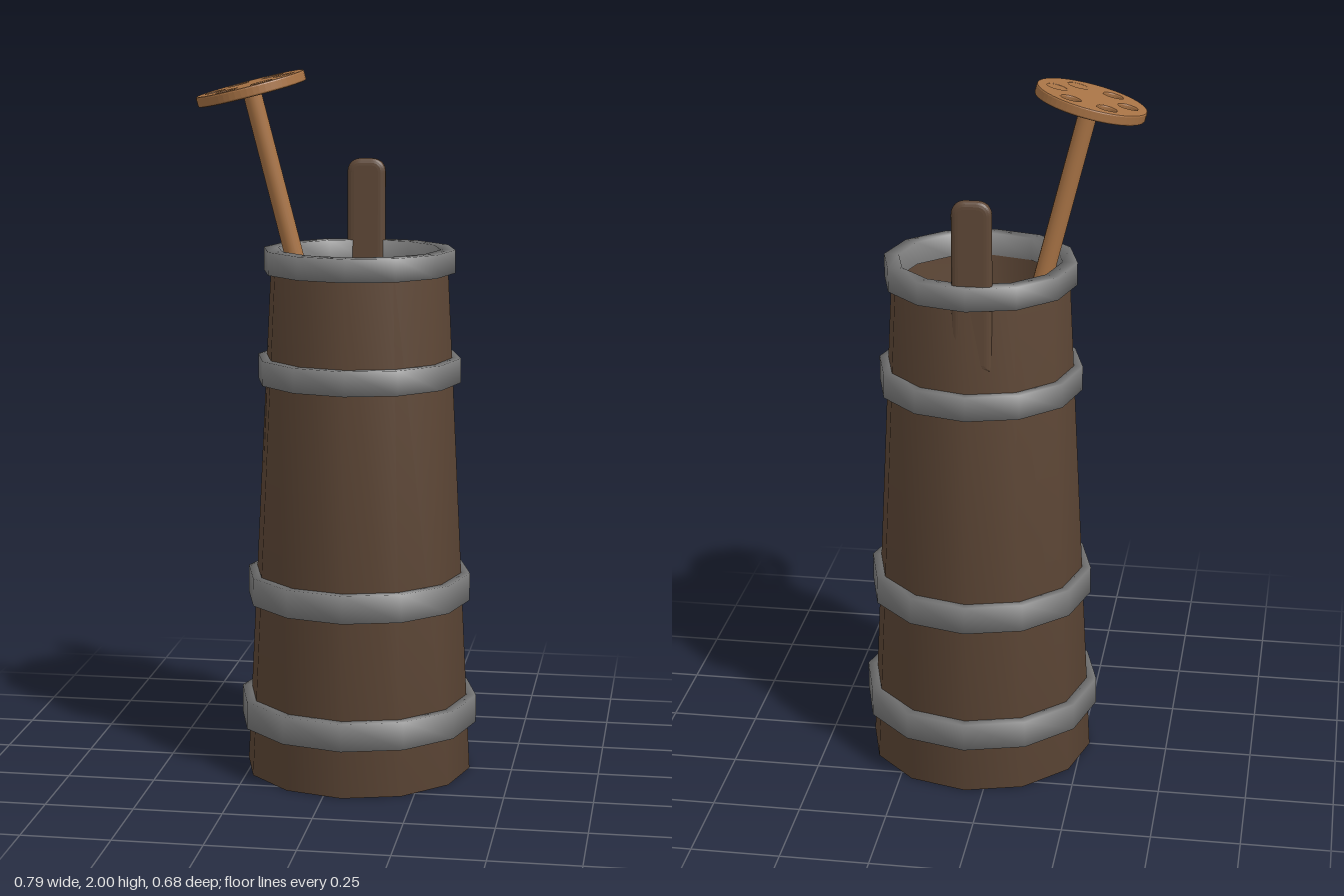
import * as THREE from 'three';

const mat = (name, color) => {
  const m = new THREE.MeshStandardMaterial({ color });
  m.name = name;
  return m;
};
const v2 = (x, y) => new THREE.Vector2(x, y);

export function createModel() {
  const barrelWood = mat('dark barrel wood', 0x5f4837);
  const hoopMetal = mat('grey hoop metal', 0x7c7c7c);
  const paleWood = mat('light plunger wood', 0xa87345);
  const SIDES = 12;
  const model = new THREE.Group();
  model.name = 'butterChurn';

  const add = (parent, name, geometry, material) => {
    const mesh = new THREE.Mesh(geometry, material);
    mesh.name = name;
    parent.add(mesh);
    return mesh;
  };

  // Tapered hollow barrel, twelve sided with smooth shading
  const barrel = new THREE.Group();
  barrel.name = 'barrel';
  barrel.position.x = 0.053;
  model.add(barrel);
  add(barrel, 'barrelBody', new THREE.LatheGeometry([
    v2(0, 0), v2(0.325, 0), v2(0.25, 1.49), v2(0.235, 1.49), v2(0.205, 0.1), v2(0, 0.1),
  ], SIDES), barrelWood);

  // Metal hoops: bottom, top, outer radius, inner radius
  const hoops = [
    [0.14, 0.22, 0.342, 0.3],
    [0.5, 0.58, 0.321, 0.28],
    [1.13, 1.2, 0.29, 0.25],
    [1.44, 1.505, 0.272, 0.23],
  ];
  hoops.forEach(([y0, y1, ro, ri], i) => {
    add(barrel, `hoop${i + 1}`, new THREE.LatheGeometry([
      v2(ri, y0), v2(ro, y0), v2(ro, y1), v2(ri, y1), v2(ri, y0),
    ], SIDES), hoopMetal);
  });

  // Upright stave rising from the back wall, with rounded edges
  const w = 0.035, r = 0.02, h = 0.44;
  const tab = new THREE.Shape();
  tab.moveTo(-w, 0);
  tab.lineTo(w, 0);
  tab.lineTo(w, h - r);
  tab.quadraticCurveTo(w, h, w - r, h);
  tab.lineTo(-w + r, h);
  tab.quadraticCurveTo(-w, h, -w, h - r);
  const stave = add(model, 'rearStave', new THREE.ExtrudeGeometry(tab, {
    depth: 0.01, bevelEnabled: true, bevelThickness: 0.012, bevelSize: 0.02, bevelSegments: 4,
  }), barrelWood);
  stave.position.set(0.04, 1.28, -0.238);

  // Plunger leaning across the barrel
  const foot = new THREE.Vector3(0.185, 0.22, -0.05);
  const top = new THREE.Vector3(-0.245, 1.95, 0.042);
  const axis = top.clone().sub(foot);
  const length = axis.length();
  const plunger = new THREE.Group();
  plunger.name = 'plunger';
  plunger.position.copy(foot);
  plunger.quaternion.setFromUnitVectors(new THREE.Vector3(0, 1, 0), axis.normalize());
  model.add(plunger);

  const stick = add(plunger, 'plungerStick', new THREE.CylinderGeometry(0.026, 0.029, length, 16), paleWood);
  stick.position.y = length / 2;

  // Pierced disc at the end of the stick
  const disc = new THREE.Shape();
  disc.absarc(0, 0, 0.15, 0, Math.PI * 2);
  const holeAt = (k) => [0.1 * Math.cos(k * Math.PI / 3), 0.1 * Math.sin(k * Math.PI / 3)];
  for (let k = 0; k < 6; k++) {
    const hole = new THREE.Path();
    hole.absarc(...holeAt(k), 0.032, 0, Math.PI * 2, true);
    disc.holes.push(hole);
  }
  const discGeo = new THREE.ExtrudeGeometry(disc, {
    depth: 0.02, bevelEnabled: true, bevelThickness: 0.005, bevelSize: 0.005,
    bevelSegments: 2, curveSegments: 28,
  });
  discGeo.translate(0, 0, -0.01).rotateX(-Math.PI / 2);
  add(plunger, 'plungerDisc', discGeo, paleWood).position.y = length;

  // Two of the holes are skinned over on the upper face
  for (const k of [0, 5]) {
    const [x, y] = holeAt(k);
    const skin = add(plunger, 'holeSkin', new THREE.CircleGeometry(0.033, 20), paleWood);
    skin.rotation.x = -Math.PI / 2;
    skin.position.set(x, length + 0.013, -y);
  }

  return model;
}
